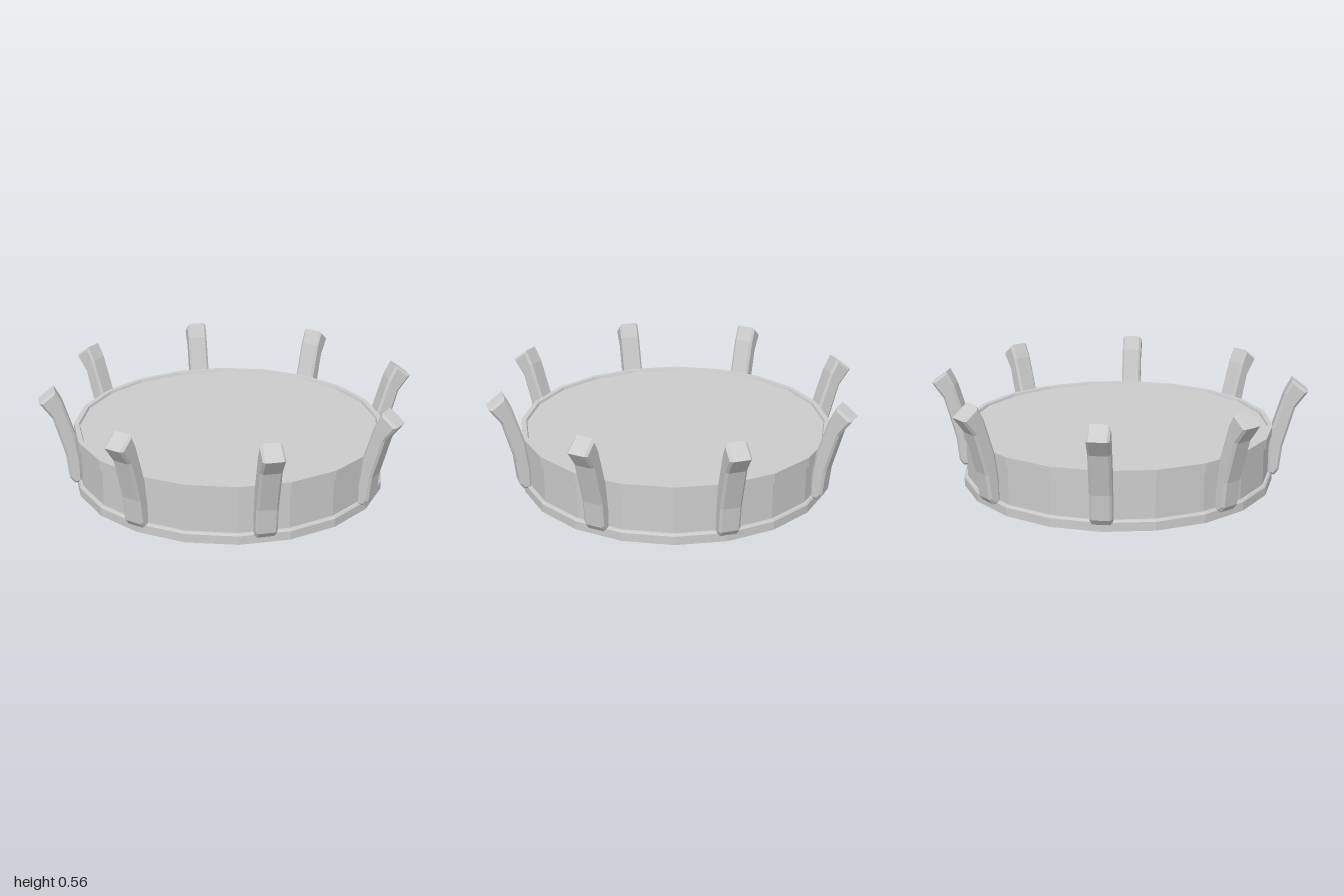
import * as THREE from 'three';

const SIDES = 20;
const PRONGS = 8;
const material = new THREE.MeshStandardMaterial({ color: 0xcccccc, flatShading: true });

const points = (list) => list.map(([x, y]) => new THREE.Vector2(x, y));

function addMesh(parent, name, geometry) {
  const mesh = new THREE.Mesh(geometry, material);
  mesh.name = name;
  parent.add(mesh);
  return mesh;
}

// Side outline of a prong: x is the distance from the centre, y is height
function prongGeometry() {
  const outline = new THREE.Shape(points([
    [0.8, 0.045], [0.84, 0.04], [0.863, 0.07], [0.877, 0.2], [0.936, 0.415],
    [0.998, 0.5], [0.915, 0.562], [0.877, 0.487], [0.82, 0.3], [0.8, 0.15],
  ]));
  const bevel = 0.012;
  const width = 0.11;
  const geometry = new THREE.ExtrudeGeometry(outline, {
    depth: width - 2 * bevel,
    bevelThickness: bevel,
    bevelSize: bevel,
    bevelOffset: -bevel,
    bevelSegments: 1,
  });
  geometry.translate(0, 0, bevel - width / 2);
  return geometry;
}

export function createModel() {
  const model = new THREE.Group();
  model.name = 'prongedBase';

  // Faceted body: recessed floor, bottom band, inset wall, top band, recessed top
  const profile = points([
    [0, 0.015], [0.8, 0.015], [0.8, 0], [0.83, 0], [0.83, 0.045], [0.822, 0.055],
    [0.812, 0.055], [0.812, 0.25], [0.826, 0.255], [0.826, 0.305],
    [0.8, 0.305], [0.795, 0.292], [0, 0.292],
  ]);
  addMesh(model, 'body', new THREE.LatheGeometry(profile, SIDES));

  // Ring of outward-leaning prongs
  const prongs = new THREE.Group();
  prongs.name = 'prongs';
  model.add(prongs);
  const geometry = prongGeometry();
  for (let i = 0; i < PRONGS; i++) {
    addMesh(prongs, `prong${i + 1}`, geometry).rotation.y = (i / PRONGS) * Math.PI * 2;
  }
  return model;
}
